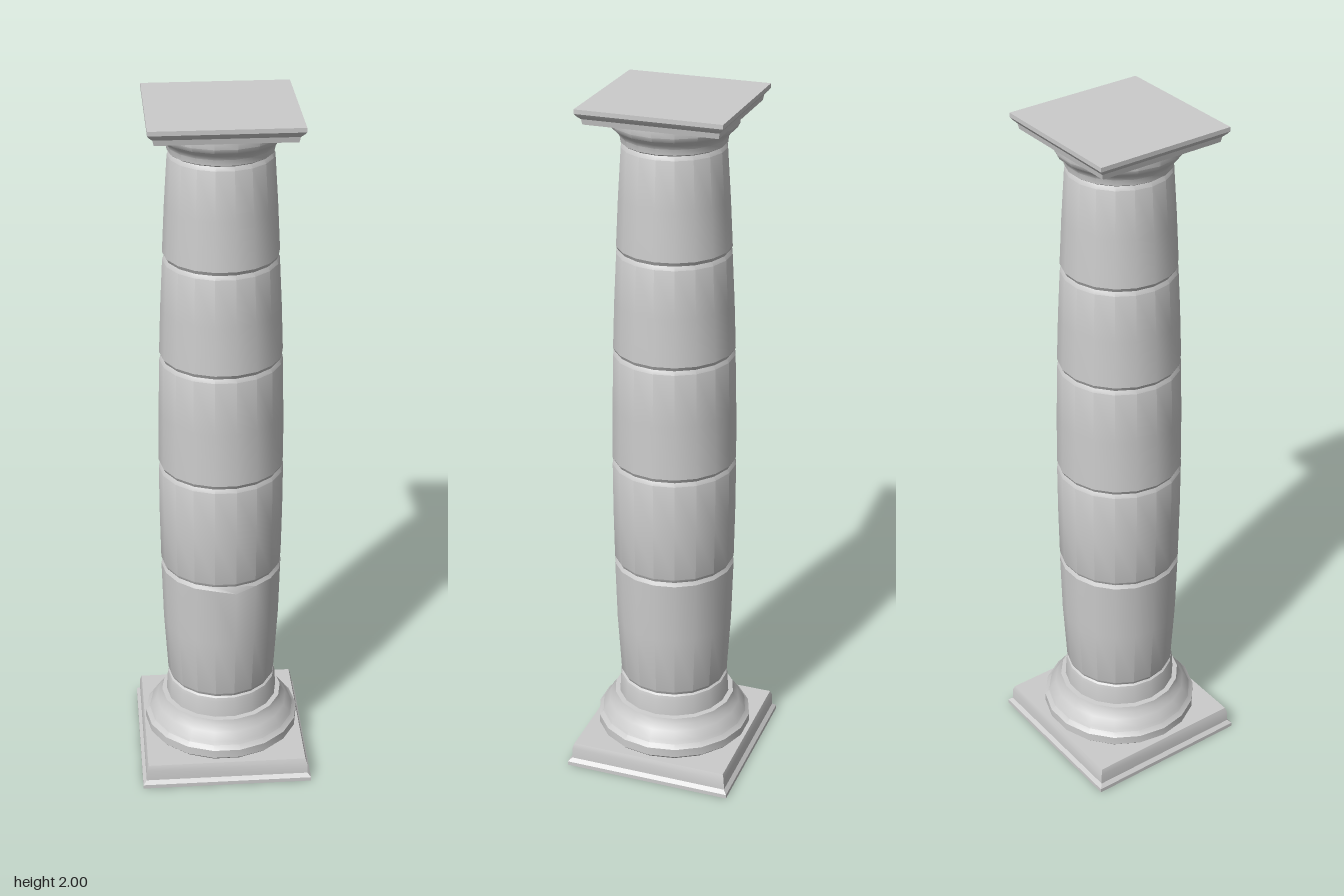
import * as THREE from 'three';
import { toCreasedNormals } from 'three/addons/utils/BufferGeometryUtils.js';

const SIDES = 18;

export function createModel() {
  const group = new THREE.Group();
  const stone = new THREE.MeshStandardMaterial({ color: 0xcccccc });
  stone.name = 'stone';

  const add = (name, geometry, crease = 0.5) => {
    const mesh = new THREE.Mesh(toCreasedNormals(geometry, crease), stone);
    mesh.name = name;
    group.add(mesh);
  };
  const vectors = (profile, scale = 1) => profile.map(([r, y]) => new THREE.Vector2(r * scale, y));
  // round moulding, with a corner on the x axis
  const round = (profile) => new THREE.LatheGeometry(vectors(profile), SIDES, Math.PI / 2);
  // square moulding, the profile giving half widths
  const square = (profile) => new THREE.LatheGeometry(vectors(profile, Math.SQRT2), 4, Math.PI / 4);

  // square foot with a stepped edge
  add('plinth', square([
    [0, 0], [0.248, 0], [0.248, 0.012], [0.238, 0.022], [0.237, 0.055], [0.232, 0.07], [0, 0.07],
  ]), 0.3);

  // round base moulding
  add('base', round([
    [0.215, 0.07], [0.222, 0.076], [0.228, 0.082], [0.228, 0.107], [0.216, 0.118], [0.212, 0.128],
    [0.195, 0.15], [0.183, 0.166], [0.178, 0.182], [0.155, 0.184],
  ]));

  // collar at the foot of the shaft
  add('collar', round([
    [0.155, 0.18], [0.164, 0.184], [0.161, 0.235], [0.158, 0.246], [0.153, 0.25],
  ]));

  // shaft drums with bevelled joints; radius swells around the middle
  const joints = [[0.158, 0.25], [0.174, 0.636], [0.177, 0.955], [0.171, 1.29], [0.159, 1.585], [0.143, 1.88]];
  for (let i = 0; i < joints.length - 1; i++) {
    const [r0, y0] = joints[i];
    const [r1, y1] = joints[i + 1];
    const bulge = i === 0 ? 0.003 : 0.001;
    const drum = round([
      [r0 - 0.006, y0], [r0, y0 + 0.011],
      [(r0 + r1) / 2 + bulge, (y0 + y1) / 2],
      [r1, y1 - 0.011], [r1 - 0.006, y1],
    ]);
    if (i === 0) {
      // worn chip at the front of the lowest drum's upper edge
      const p = drum.attributes.position;
      for (let v = 0; v < p.count; v++) {
        if (p.getZ(v) > 0.15 && p.getX(v) > 0 && p.getX(v) < 0.05 && Math.abs(p.getY(v) - 0.625) < 0.005) {
          p.setY(v, p.getY(v) - 0.012);
        }
      }
    }
    add('drum' + (i + 1), drum);
  }

  // round capital moulding
  add('capital', round([
    [0.137, 1.88], [0.143, 1.884], [0.145, 1.9], [0.152, 1.912], [0.168, 1.925],
    [0.174, 1.937], [0.174, 1.954], [0.165, 1.962],
  ]));

  // square slab on top
  add('abacus', square([
    [0, 1.957], [0.184, 1.957], [0.187, 1.972], [0.195, 1.98], [0.201, 1.988], [0.201, 2], [0, 2],
  ]), 0.3);

  return group;
}
